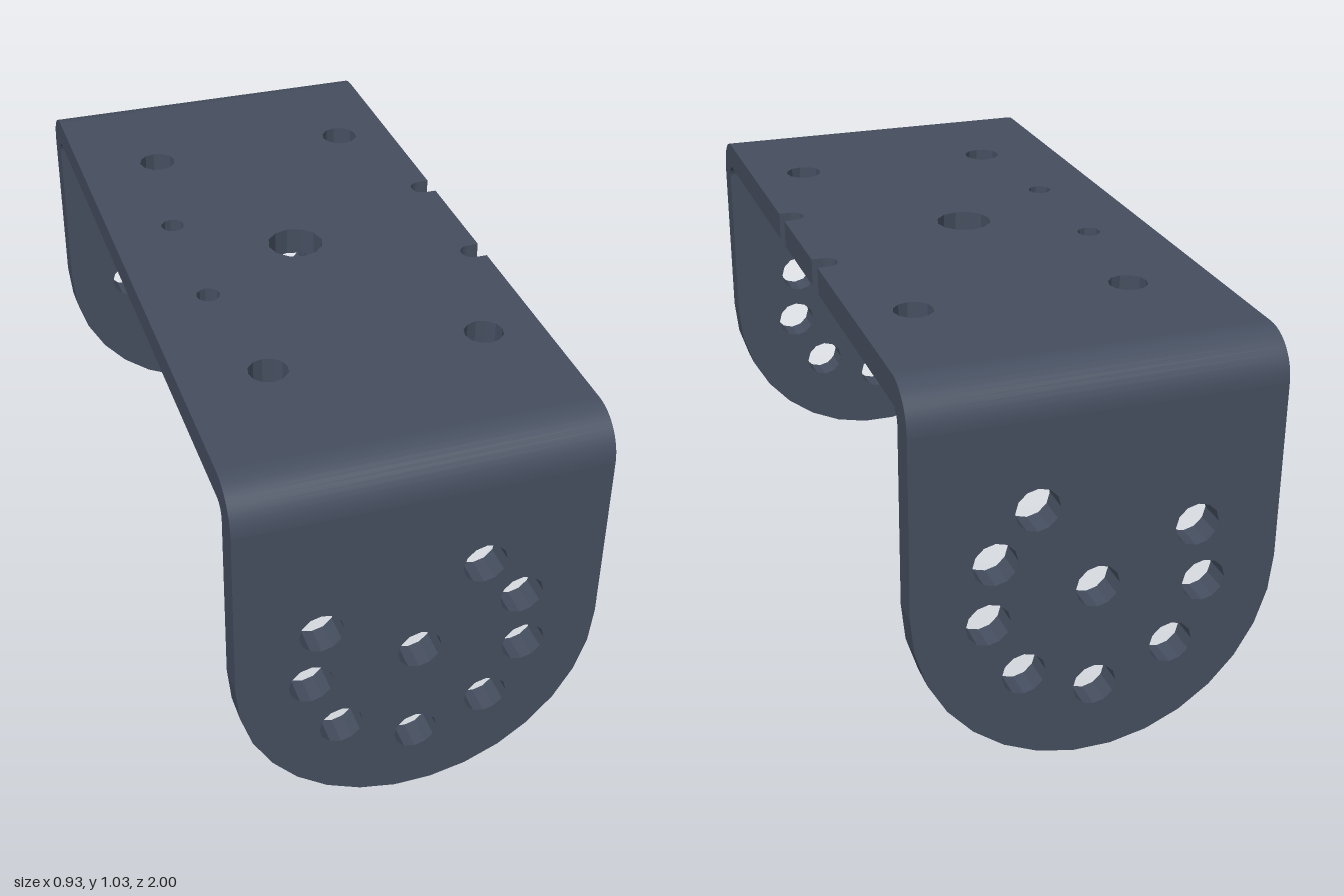
import * as THREE from 'three';
import { toCreasedNormals } from 'three/addons/utils/BufferGeometryUtils.js';

const W = 0.463, H = 1.035, T = 0.073; // half width, height, sheet thickness
const R = 0.11, FLAT = 1 - R;          // outer bend radius, half length of flat top

const material = new THREE.MeshStandardMaterial({ color: 0x464f60 });

function extrude(shape, depth) {
  return new THREE.ExtrudeGeometry(shape, { depth, bevelEnabled: false, curveSegments: 6 });
}

function drill(shape, holes) {
  for (const [x, y, r] of holes) {
    shape.holes.push(new THREE.Path().absarc(x, y, r, 0, Math.PI * 2, true));
  }
}

// Upright ear with a rounded lower end and a ring of holes
function earGeometry() {
  const pts = [new THREE.Vector2(W, H - R), new THREE.Vector2(-W, H - R)];
  const n = 15, rise = W / Math.cos(Math.PI / 2 / n);
  for (let i = 0; i <= n; i++) {
    const a = Math.PI * (1 + i / n);
    pts.push(new THREE.Vector2(W * Math.cos(a), W + rise * Math.sin(a)));
  }
  const shape = new THREE.Shape(pts);
  const r = 0.056;
  drill(shape, [
    [0, 0.463, r], [0.155, 0.695, r], [0.257, 0.57, r], [0.273, 0.41, r], [0.183, 0.255, r],
    [0, 0.185, r], [-0.197, 0.265, r], [-0.275, 0.427, r], [-0.25, 0.585, r],
  ]);
  return extrude(shape, T);
}

// Flat top with screw holes and two notches in the left edge
function topGeometry() {
  const shape = new THREE.Shape();
  const r = 0.031;
  shape.moveTo(-W, -FLAT);
  shape.lineTo(W, -FLAT);
  for (const z of [-0.188, 0.183]) {
    shape.lineTo(W, z - r);
    shape.lineTo(0.434, z - r);
    shape.absarc(0.434, z, r, -Math.PI / 2, Math.PI / 2, true);
    shape.lineTo(W, z + r);
  }
  shape.lineTo(W, FLAT);
  shape.lineTo(-W, FLAT);
  shape.closePath();
  drill(shape, [
    [0, 0, 0.073], [-0.29, -0.188, r], [-0.29, 0.183, r],
    [-0.242, -0.56, 0.05], [0.313, -0.56, 0.05], [-0.242, 0.552, 0.05], [0.313, 0.552, 0.05],
  ]);
  return extrude(shape, T).rotateX(Math.PI / 2).translate(0, H, 0);
}

// Quarter-round bend joining the top to an ear
function bendGeometry() {
  const shape = new THREE.Shape();
  shape.absarc(FLAT, H - R, R, 0, Math.PI / 2, false);
  shape.absarc(FLAT, H - R, R - T, Math.PI / 2, 0, true);
  shape.closePath();
  const geo = extrude(shape, 2 * W).rotateY(-Math.PI / 2).translate(W, 0, 0);
  return toCreasedNormals(geo, 0.4);
}

export function createModel() {
  const group = new THREE.Group();
  group.name = 'bracket';
  const add = (name, geometry) => {
    const mesh = new THREE.Mesh(geometry, material);
    mesh.name = name;
    group.add(mesh);
    return mesh;
  };
  add('topPlate', topGeometry());
  add('frontEar', earGeometry()).position.z = 1 - T;
  add('backEar', earGeometry()).position.z = -1;
  add('frontBend', bendGeometry());
  add('backBend', bendGeometry()).rotation.y = Math.PI;
  return group;
}
